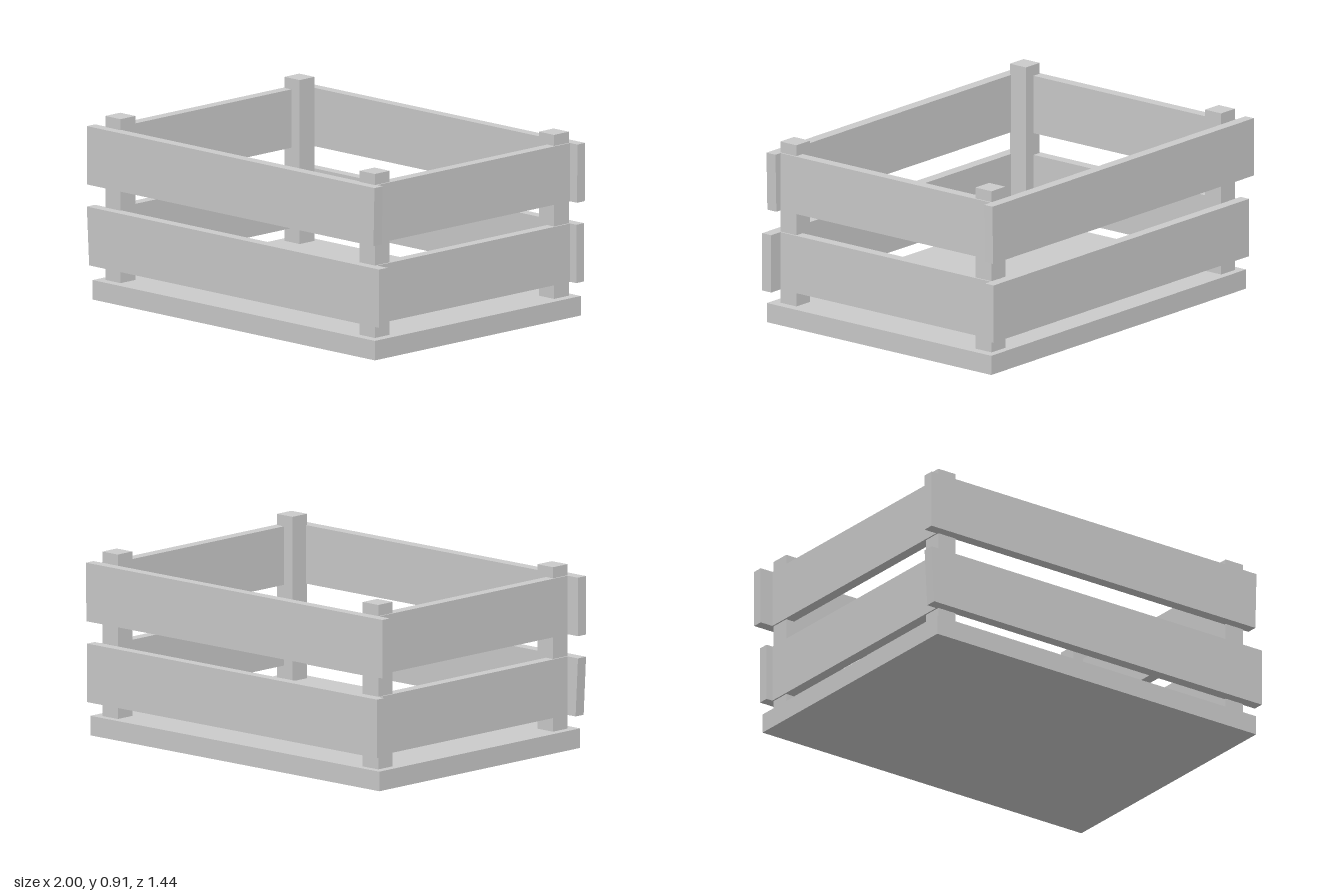
import * as THREE from 'three';

const material = new THREE.MeshStandardMaterial({ color: 0xcccccc, flatShading: true });

// Box given by its limits on each axis
function block(name, [x0, x1], [y0, y1], [z0, z1]) {
  const geometry = new THREE.BoxGeometry(x1 - x0, y1 - y0, z1 - z0);
  geometry.translate((x0 + x1) / 2, (y0 + y1) / 2, (z0 + z1) / 2);
  const mesh = new THREE.Mesh(geometry, material);
  mesh.name = name;
  return mesh;
}

// Board whose ends are cut slightly off square: bottom corners move by cutLeft / cutRight
function board(name, xs, ys, zs, cutLeft = 0, cutRight = 0) {
  const mesh = block(name, xs, ys, zs);
  const p = mesh.geometry.attributes.position;
  const midX = (xs[0] + xs[1]) / 2, midY = (ys[0] + ys[1]) / 2;
  for (let i = 0; i < p.count; i++) {
    if (p.getY(i) < midY) p.setX(i, p.getX(i) + (p.getX(i) < midX ? cutLeft : cutRight));
  }
  mesh.geometry.computeVertexNormals();
  return mesh;
}

export function createModel() {
  const crate = new THREE.Group();
  crate.name = 'crate';

  // Solid floor
  crate.add(block('floor', [-0.963, 0.968], [0, 0.097], [-0.702, 0.715]));

  // Corner posts
  for (const x of [-0.87, 0.87]) {
    for (const z of [-0.615, 0.618]) {
      crate.add(block('cornerPost', [x - 0.052, x + 0.052], [0.09, 0.912], [z - 0.051, z + 0.051]));
    }
  }

  // Two rows of slats all round
  const lower = [0.167, 0.457], upper = [0.567, 0.857];
  for (const row of [lower, upper]) {
    for (const side of [-1, 1]) {
      const xs = side > 0 ? [0.875, 0.93] : [-0.93, -0.875];
      crate.add(block('sideSlat', xs, row, [-0.667, 0.661]));
    }
  }

  // Long slats, unevenly trimmed at the ends
  const front = [0.661, 0.718], back = [-0.72, -0.667];
  crate.add(board('frontSlat', [-1, 1], lower, front, 0.016, 0));
  crate.add(board('frontSlat', [-1, 0.968], upper, front, 0, -0.007));
  crate.add(board('backSlat', [-0.965, 0.972], lower, back));
  crate.add(board('backSlat', [-1, 0.98], upper, back, 0, -0.003));

  return crate;
}
